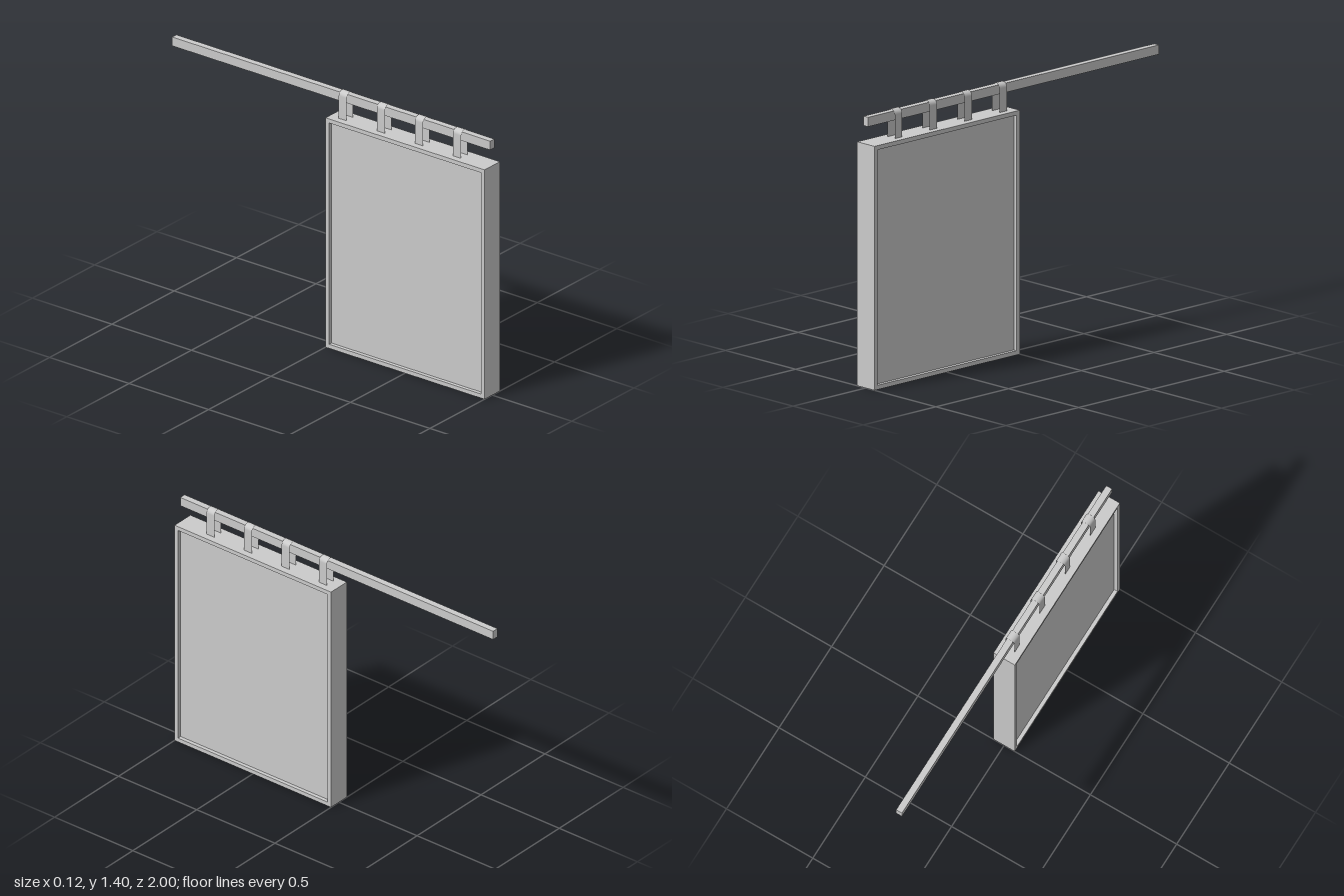
import * as THREE from 'three';

const grey = new THREE.MeshStandardMaterial({ color: 0xcccccc });
const greyThin = new THREE.MeshStandardMaterial({ color: 0xcccccc, side: THREE.DoubleSide });

const W = 0.124, H = 1.25, D = 1;       // sign thickness, height, length
const RIM = 0.022, RECESS = 0.02;       // frame border and panel recess

function box(name, w, h, d, x, y, z) {
  const mesh = new THREE.Mesh(new THREE.BoxGeometry(w, h, d), grey);
  mesh.name = name;
  mesh.position.set(x, y, z);
  return mesh;
}

function rectangle(target, x0, y0, x1, y1) {
  target.moveTo(x0, y0);
  target.lineTo(x1, y0);
  target.lineTo(x1, y1);
  target.lineTo(x0, y1);
  target.closePath();
  return target;
}

// Rim of the sign, cut through along x
function createFrame() {
  const shape = rectangle(new THREE.Shape(), -D, 0, 0, H);
  shape.holes.push(rectangle(new THREE.Path(), -D + RIM, RIM, -RIM, H - RIM));
  const geometry = new THREE.ExtrudeGeometry(shape, { depth: W, bevelEnabled: false });
  geometry.rotateY(Math.PI / 2).translate(-W / 2, 0, 0);
  const mesh = new THREE.Mesh(geometry, grey);
  mesh.name = 'signFrame';
  return mesh;
}

// Thin strap: up one side, round over the pole and down the other
function createStrapGeometry() {
  const r = 0.026, width = 0.05, springY = 1.372, segments = 8;
  const points = [[r, H]];
  for (let i = 0; i <= segments; i++) {
    const a = (i / segments) * Math.PI;
    points.push([r * Math.cos(a), springY + r * Math.sin(a)]);
  }
  points.push([-r, H]);
  const geometry = new THREE.PlaneGeometry(1, width, points.length - 1, 1);
  const pos = geometry.attributes.position;
  for (let i = 0; i < pos.count; i++) {
    const [x, y] = points[i % points.length];
    pos.setXYZ(i, x, y, pos.getY(i));
  }
  geometry.computeVertexNormals();
  return geometry;
}

export function createModel() {
  const model = new THREE.Group();
  model.name = 'hangingSign';

  // Sign board with a recessed panel on both faces
  model.add(createFrame());
  model.add(box('signPanel', W - 2 * RECESS, H - 2 * RIM, D - 2 * RIM, 0, H / 2, D / 2));

  // Square pole reaching back to the wall
  model.add(box('pole', 0.034, 0.048, 2, 0, 1.366, 0));

  // Four hanging straps
  const strapGeometry = createStrapGeometry();
  const straps = new THREE.Group();
  straps.name = 'straps';
  for (let i = 0; i < 4; i++) {
    const strap = new THREE.Mesh(strapGeometry, greyThin);
    strap.name = 'strap';
    strap.position.z = 0.08 + i * 0.24;
    straps.add(strap);
  }
  model.add(straps);

  return model;
}
